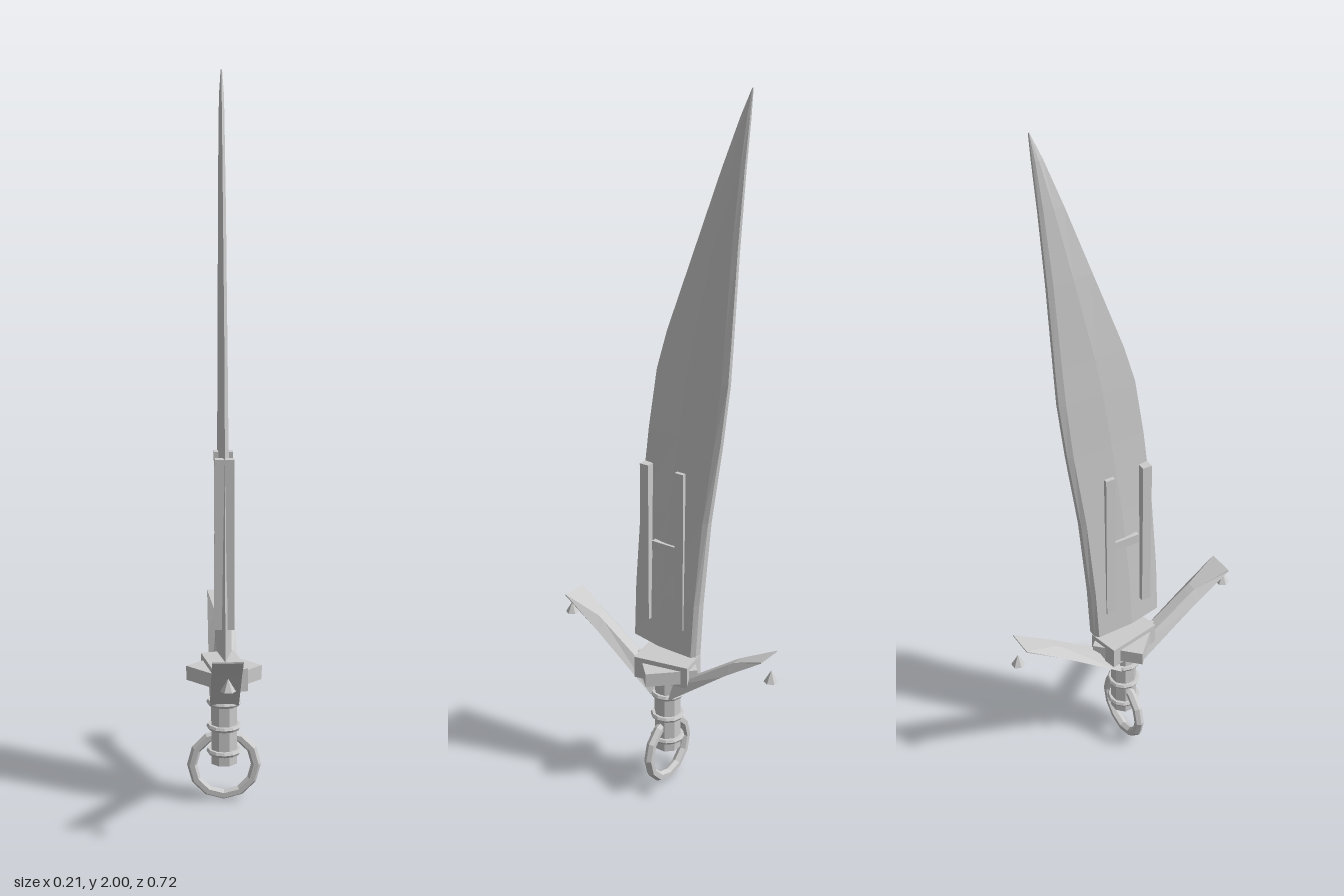
import * as THREE from 'three';

const steel = new THREE.MeshStandardMaterial({ color: 0xcccccc, flatShading: true });
steel.name = 'steelGrey';

// Skins a list of equal-length rings of [x, y, z] points and caps both ends
function loft(rings) {
  const n = rings[0].length;
  const index = [];
  rings.slice(1).forEach((_, i) => {
    for (let j = 0; j < n; j++) {
      const k = (j + 1) % n, a = i * n, b = a + n;
      index.push(a + j, a + k, b + k, a + j, b + k, b + j);
    }
  });
  const last = (rings.length - 1) * n;
  for (let j = 1; j < n - 1; j++) {
    index.push(0, j + 1, j, last, last + j, last + j + 1);
  }
  const geo = new THREE.BufferGeometry();
  geo.setAttribute('position', new THREE.Float32BufferAttribute(rings.flat(2), 3));
  geo.setIndex(index);
  const flat = geo.toNonIndexed();
  flat.computeVertexNormals();
  return flat;
}

export function createModel() {
  const model = new THREE.Group();
  model.name = 'sword';

  const add = (name, geo, x = 0, y = 0, z = 0) => {
    const mesh = new THREE.Mesh(geo, steel);
    mesh.name = name;
    mesh.position.set(x, y, z);
    model.add(mesh);
    return mesh;
  };

  // Blade stations: height, cutting edge z, spine z, half thickness, spine bevel depth
  const stations = [
    [0.437, 0.115, -0.105, 0.023, 0.010],
    [0.6, 0.109, -0.115, 0.021, 0.011],
    [0.85, 0.09, -0.14, 0.017, 0.013],
    [1.08, 0.062, -0.175, 0.014, 0.015],
    [1.25, 0.035, -0.196, 0.013, 0.018],
    [1.36, 0.002, -0.203, 0.012, 0.017],
    [1.6, -0.088, -0.217, 0.011, 0.014],
    [1.8, -0.163, -0.232, 0.009, 0.010],
    [1.93, -0.215, -0.244, 0.007, 0.006],
    [2.0, -0.247, -0.25, 0.002, 0.001],
  ];
  add('blade', loft(stations.map(([y, f, b, w, d]) => {
    const ridge = f + (b - f) * 0.45;
    return [
      [0, y, f], [w * 0.9, y, ridge], [w, y, b + d], [w * 0.5, y, b],
      [-w * 0.5, y, b], [-w, y, b + d], [-w * 0.9, y, ridge],
    ];
  })));

  // Raised bars running through the lower blade
  add('frontBladeBar', new THREE.BoxGeometry(0.052, 0.465, 0.028), 0, 0.747, 0.06);
  add('rearBladeBar', new THREE.BoxGeometry(0.052, 0.465, 0.028), 0, 0.747, -0.056);
  add('bladeCrossBar', new THREE.BoxGeometry(0.05, 0.028, 0.09), 0, 0.746, -0.01);

  // Guard: twisted block crossed by a diamond plate
  add('guardBlock', new THREE.BoxGeometry(0.095, 0.064, 0.163), 0, 0.372, 0).rotation.y = 0.2;
  add('guardDiamond', new THREE.CylinderGeometry(0.104, 0.104, 0.04, 4), 0, 0.37, 0);

  // Swept wings with a loose stud under each tip
  const wing = loft([
    [0.03, 0.285, 0.325, 0.016],
    [0.215, 0.425, 0.452, 0.016],
    [0.235, 0.439, 0.465, 0.016],
    [0.337, 0.507, 0.511, 0.04],
  ].map(([z, low, high, top]) => [[-0.04, low, z], [0.04, low, z], [top, high, z], [-top, high, z]]));
  const stud = new THREE.ConeGeometry(0.02, 0.034, 6).rotateY(Math.PI / 6);
  for (const [side, s] of [['front', 1], ['back', -1]]) {
    add(side + 'Wing', wing).rotation.y = s > 0 ? 0 : Math.PI;
    add(side + 'Stud', stud, 0, 0.454, 0.345 * s);
  }

  // Grip with binding rings
  const eighth = Math.PI / 8;
  add('grip', new THREE.CylinderGeometry(0.038, 0.038, 0.25, 8).rotateY(eighth), 0, 0.235, 0);
  for (const y of [0.145, 0.217, 0.287]) {
    add('gripRing', new THREE.TorusGeometry(0.041, 0.008, 6, 12).rotateX(Math.PI / 2), 0, y, 0);
  }

  // Pommel ring
  add('pommelRing', new THREE.TorusGeometry(0.089, 0.014, 6, 12), 0, 0.104, 0);

  return model;
}
